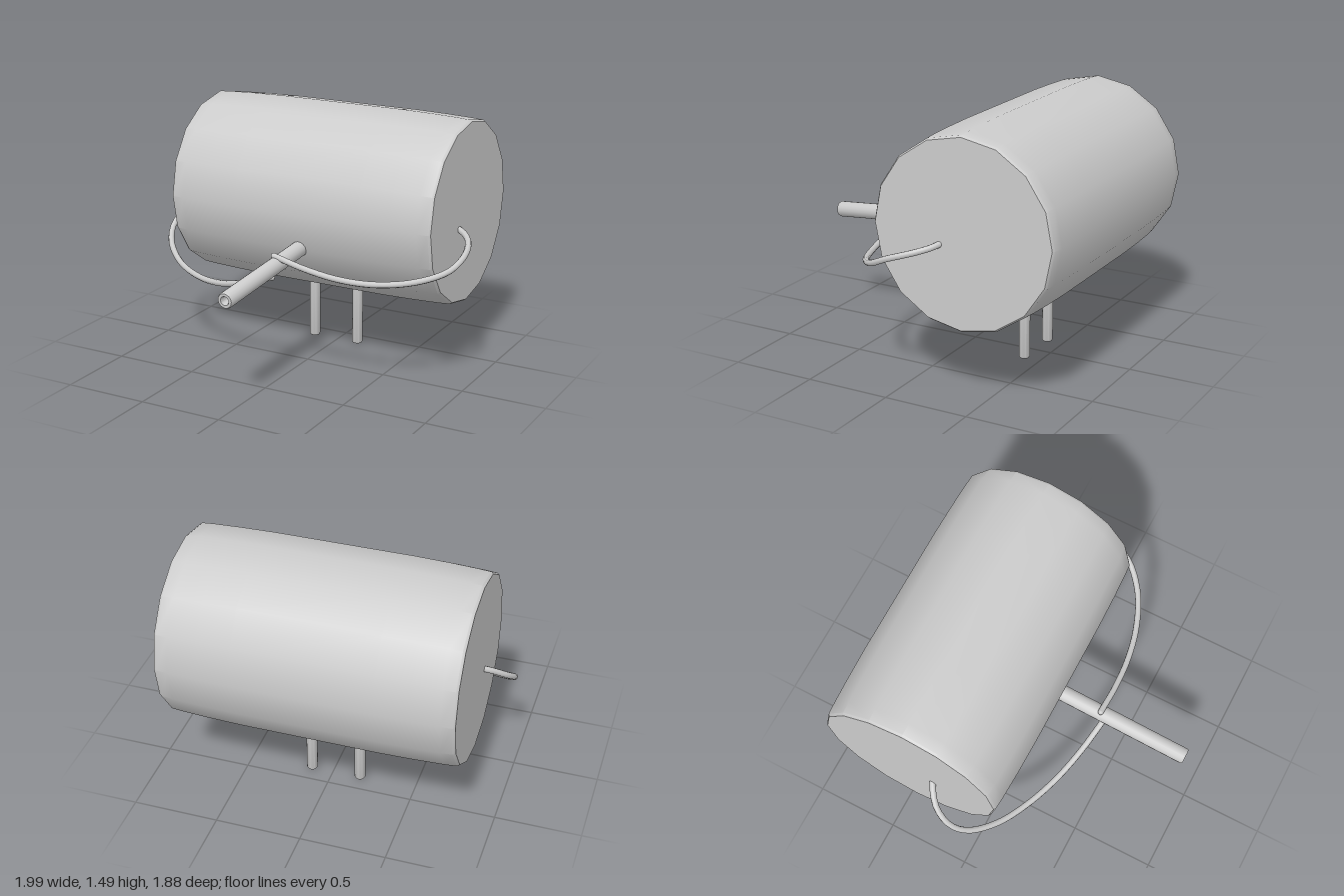
import * as THREE from 'three';
import { toCreasedNormals } from 'three/addons/utils/BufferGeometryUtils.js';

const material = new THREE.MeshStandardMaterial({ color: 0xcccccc });

function add(group, name, geometry) {
  const mesh = new THREE.Mesh(geometry, material);
  mesh.name = name;
  group.add(mesh);
  return mesh;
}

// Turned solid from [radius, height] pairs listed bottom to top
function turned(profile, sides) {
  const points = profile.map(([r, h]) => new THREE.Vector2(r, h));
  return toCreasedNormals(new THREE.LatheGeometry(points, sides), 0.6);
}

// Thin bent wire with closed, slightly rounded ends
function addArm(group, name, coords) {
  const radius = 0.018;
  const points = coords.map((p) => new THREE.Vector3(...p));
  const curve = new THREE.CatmullRomCurve3(points);
  const arm = new THREE.Group();
  arm.name = name;
  add(arm, name + 'Wire', new THREE.TubeGeometry(curve, 36, radius, 8));
  [points[0], points[points.length - 1]].forEach((p) => {
    add(arm, name + 'End', new THREE.SphereGeometry(radius, 8, 6)).position.copy(p);
  });
  group.add(arm);
}

export function createModel() {
  const model = new THREE.Group();
  model.name = 'drumFigure';

  // Sixteen-sided drum lying along x, narrowing a little at both ends
  const half = [[0, -0.842], [0.53, -0.842], [0.54, -0.828], [0.545, -0.76], [0.551, -0.6], [0.555, -0.4]];
  const drumProfile = [...half, ...half.map(([r, h]) => [r, -h]).reverse()];
  const drum = add(model, 'drumBody', turned(drumProfile, 16).rotateZ(-Math.PI / 2));
  drum.position.set(0.003, 0.937, -0.385);

  // Hollow-tipped spout pointing forward and slightly down
  const spout = add(model, 'spout', turned([
    [0, 0], [0.047, 0], [0.047, 0.915], [0.042, 0.925], [0.026, 0.925], [0.022, 0.915], [0.022, 0.84], [0, 0.84],
  ], 16));
  const base = new THREE.Vector3(0.013, 0.738, 0.015);
  const tip = new THREE.Vector3(0.013, 0.665, 0.937);
  spout.position.copy(base);
  spout.quaternion.setFromUnitVectors(new THREE.Vector3(0, 1, 0), tip.sub(base).normalize());

  // Two straight legs
  for (const [name, x] of [['rightLeg', -0.165], ['leftLeg', 0.13]]) {
    const leg = add(model, name, turned([
      [0, 0], [0.027, 0], [0.032, 0.008], [0.032, 0.48], [0, 0.48],
    ], 16));
    leg.position.set(x, 0, -0.395);
  }

  // Wire arms sweeping from the drum ends round to the spout
  addArm(model, 'leftArm', [
    [0.82, 0.875, -0.26], [0.88, 0.86, -0.23], [0.945, 0.835, -0.15], [0.977, 0.79, -0.01],
    [0.94, 0.735, 0.11], [0.8, 0.69, 0.24], [0.6, 0.67, 0.33], [0.4, 0.68, 0.375],
    [0.2, 0.713, 0.392], [0, 0.76, 0.392],
  ]);
  addArm(model, 'rightArm', [
    [-0.81, 0.85, -0.26], [-0.87, 0.825, -0.23], [-0.945, 0.765, -0.165], [-0.977, 0.69, -0.07],
    [-0.94, 0.61, 0.025], [-0.8, 0.53, 0.145], [-0.6, 0.495, 0.245], [-0.4, 0.51, 0.32],
    [-0.2, 0.565, 0.375], [0, 0.64, 0.415],
  ]);

  return model;
}
